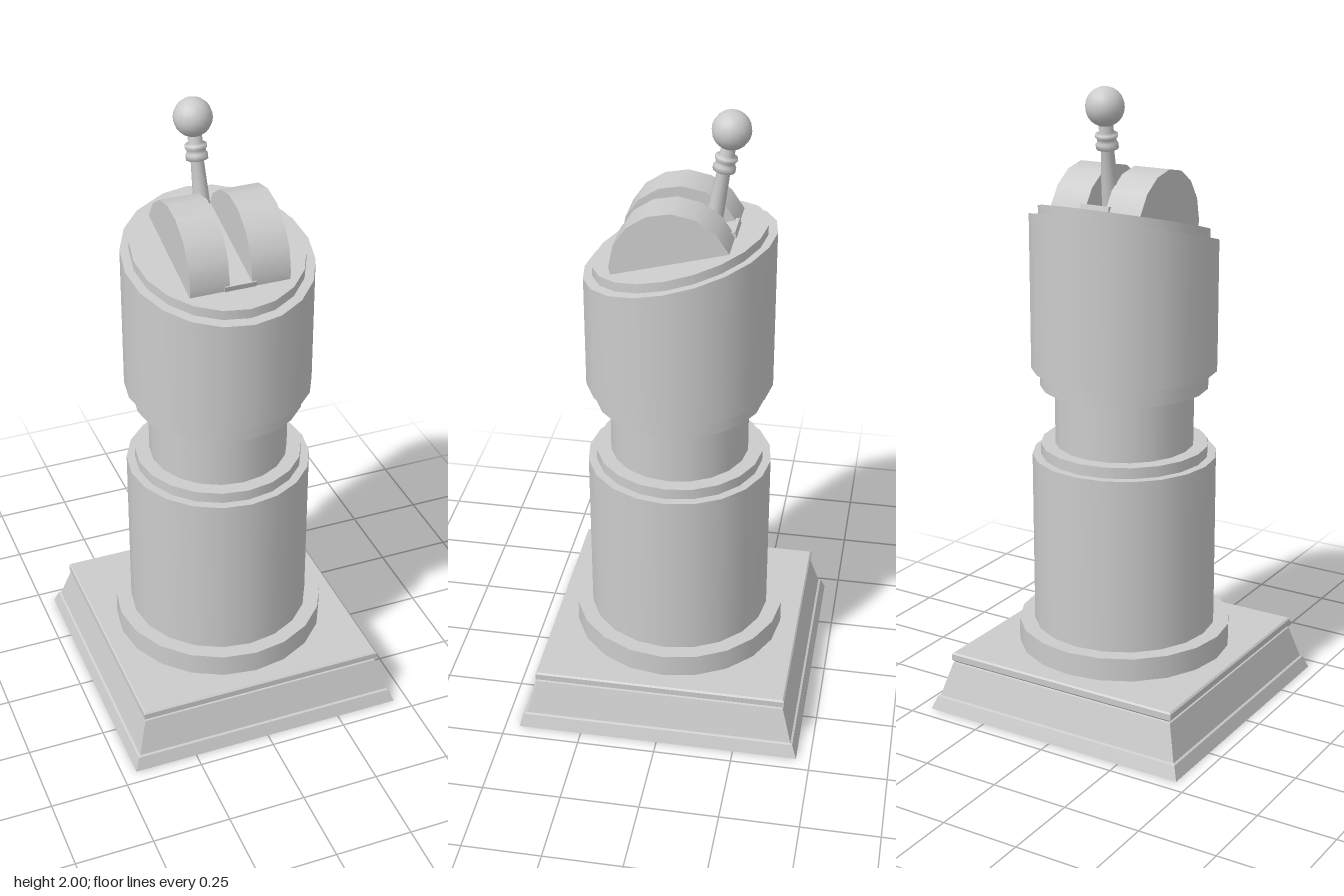
import * as THREE from 'three';

const SLOPE = 0.272; // fall of the slanted top toward the front
const SIDES = 20;

export function createModel() {
  const group = new THREE.Group();
  const mat = new THREE.MeshStandardMaterial({ color: 0xcccccc });
  const thin = new THREE.MeshStandardMaterial({ color: 0xcccccc, side: THREE.DoubleSide });

  const add = (name, geo, x = 0, y = 0, z = 0, material = mat) => {
    const mesh = new THREE.Mesh(geo, material);
    mesh.name = name;
    mesh.position.set(x, y, z);
    group.add(mesh);
    return mesh;
  };
  const drum = (name, r, y0, y1) =>
    add(name, new THREE.CylinderGeometry(r, r, y1 - y0, SIDES), 0, (y0 + y1) / 2, 0);

  // Drum whose top is cut by a slanted plane
  const slantedDrum = (name, r, y0, yTop) => {
    const geo = new THREE.CylinderGeometry(r, r, yTop - y0, SIDES);
    const p = geo.attributes.position, n = geo.attributes.normal;
    const up = new THREE.Vector3(0, 1, SLOPE).normalize();
    for (let i = 0; i < p.count; i++) {
      if (p.getY(i) > 0) p.setY(i, p.getY(i) - SLOPE * p.getZ(i));
      if (n.getY(i) > 0.5) n.setXYZ(i, up.x, up.y, up.z);
    }
    return add(name, geo, 0, (y0 + yTop) / 2, 0);
  };

  // Square moulded plinth, a shell open underneath
  const profile = [[0.455, 0], [0.44, 0.042], [0.433, 0.045], [0.402, 0.155],
    [0.396, 0.157], [0.405, 0.165], [0.405, 0.185], [0.4, 0.19], [0, 0.19]]
    .map(([h, y]) => new THREE.Vector2(h * Math.SQRT2, y));
  const plinth = new THREE.LatheGeometry(profile, 4, Math.PI / 4).toNonIndexed();
  plinth.computeVertexNormals();
  add('plinth', plinth, 0, 0, 0, thin);

  // Round foot: its wall carries on down inside the plinth
  drum('footRing', 0.343, 0.18, 0.265);
  add('footSkirt', new THREE.CylinderGeometry(0.343, 0.343, 0.1, SIDES, 1, true), 0, 0.14, 0, thin);

  // Column
  drum('lowerColumn', 0.293, 0.26, 0.83);
  drum('lowerCollar', 0.266, 0.82, 0.865);
  drum('neck', 0.22, 0.86, 1.06);
  drum('upperCollar', 0.266, 1.055, 1.12);
  slantedDrum('head', 0.293, 1.113, 1.555);
  slantedDrum('headLid', 0.265, 1.4, 1.585);

  // Slanted plate in the lever slot
  const plate = add('slotPlate', new THREE.BoxGeometry(0.1, 0.06, 0.374), 0, 1.573, 0);
  plate.rotation.x = Math.atan(SLOPE);

  // Twin round housings beside the lever
  for (const side of [-1, 1]) {
    const disc = new THREE.CylinderGeometry(0.186, 0.186, 0.122, 16).rotateZ(Math.PI / 2);
    add(side > 0 ? 'leftHousing' : 'rightHousing', disc, side * 0.096, 1.56, 0);
  }

  // Lever: tapered rod with collar bands and a ball knob
  const ball = new THREE.Vector3(-0.022, 1.941, -0.148);
  const root = new THREE.Vector3(-0.006, 1.52, -0.078);
  const axis = ball.clone().sub(root);
  const length = axis.length();
  const rod = [[0.028, 0], [0.025, 0.18], [0.02, 0.295], [0.034, 0.3], [0.034, 0.315],
    [0.029, 0.32], [0.029, 0.33], [0.034, 0.335], [0.034, 0.345], [0.022, 0.35], [0.022, length]]
    .map(([r, y]) => new THREE.Vector2(r, y));
  const lever = add('lever', new THREE.LatheGeometry(rod, 12), root.x, root.y, root.z);
  lever.quaternion.setFromUnitVectors(new THREE.Vector3(0, 1, 0), axis.normalize());
  add('knob', new THREE.SphereGeometry(0.059, 16, 12), ball.x, ball.y, ball.z);

  return group;
}
